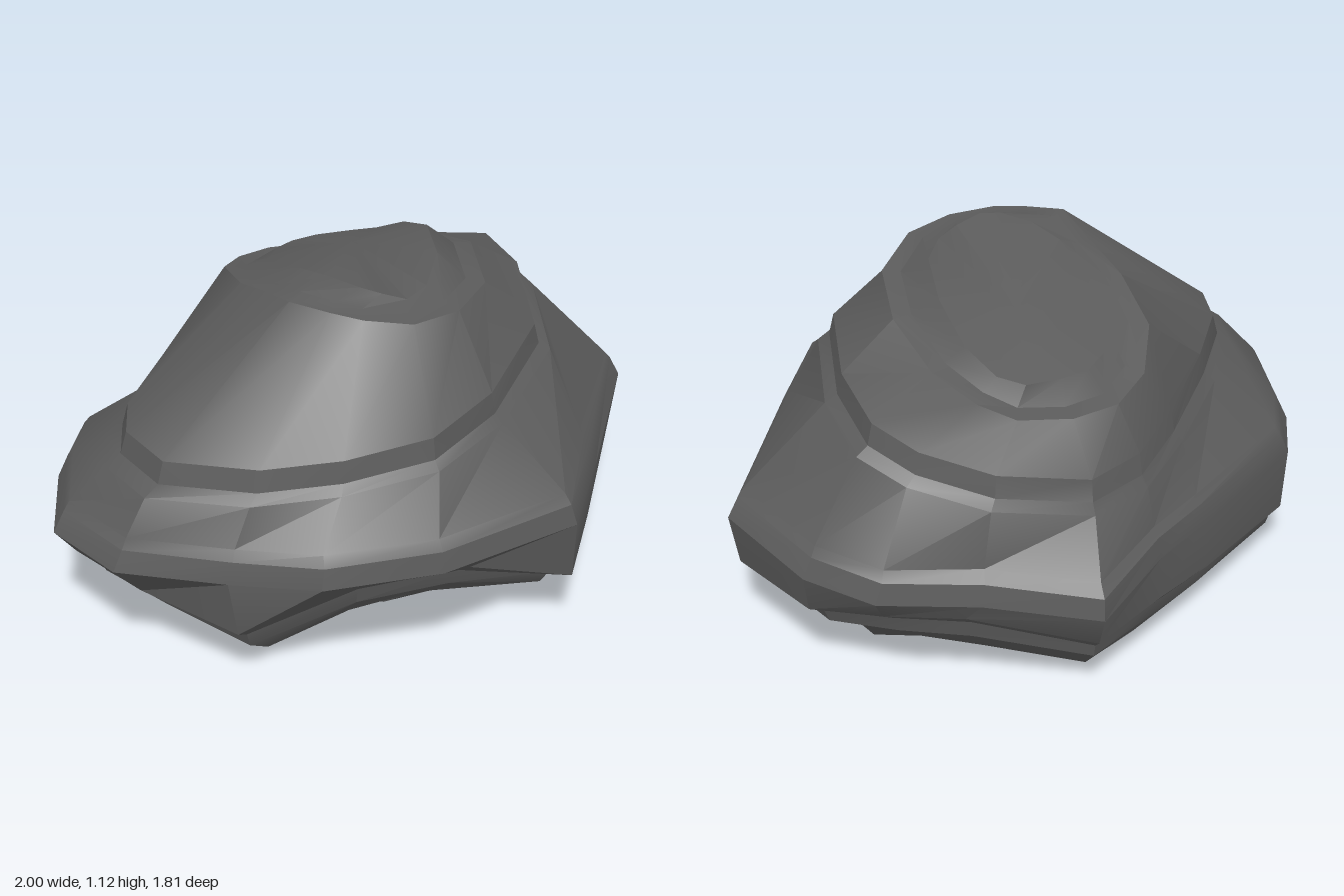
import * as THREE from 'three';
import { toCreasedNormals } from 'three/addons/utils/BufferGeometryUtils.js';

const N = 16;

// Key outlines as x, z pairs, from the back round by +x to the front and home by -x.
const base = [0, -.5, .2, -.45, .38, -.36, .58, -.32, .66, -.08, .4, .12, .25, .24, .04, .38,
  -.1, .33, -.3, .24, -.5, .14, -.55, .05, -.6, -.08, -.6, -.18, -.42, -.3, -.2, -.42];
const foot = [0, -.73, .3, -.62, .48, -.56, .64, -.42, .72, -.12, .5, .22, .4, .38, .13, .46,
  -.1, .5, -.38, .6, -.52, .36, -.68, .15, -.77, 0, -.74, -.17, -.4, -.46, -.2, -.6];
const sill = [0, -.86, .39, -.76, .63, -.69, .82, -.52, .97, -.17, .72, .38, .57, .69, .25, .65,
  -.1, .67, -.5, .77, -.76, .53, -.93, .28, -.93, 0, -.86, -.2, -.47, -.53, -.26, -.68];
const belt = [0, -.91, .35, -.8, .66, -.74, .84, -.56, 1, -.18, .73, .4, .56, .74, .1, .9,
  -.27, .9, -.53, .79, -.85, .63, -1, .35, -.95, 0, -.87, -.21, -.45, -.55, -.25, -.7];
const shelf = [-.02, -.74, .3, -.73, .53, -.63, .65, -.5, .68, -.2, .61, .24, .36, .58, .12, .74,
  -.18, .76, -.45, .73, -.74, .58, -.83, .36, -.8, .18, -.64, -.1, -.4, -.45, -.22, -.64];
const crown = [0, -.58, .17, -.56, .28, -.5, .38, -.36, .44, -.12, .4, .2, .26, .41, .1, .49,
  -.05, .47, -.14, .42, -.25, .34, -.29, .18, -.34, 0, -.35, -.25, -.27, -.44, -.15, -.55];
const plate = [0, -.47, .12, -.48, .2, -.44, .27, -.34, .3, -.15, .27, .1, .19, .28, .11, .36,
  .03, .365, -.03, .33, -.11, .23, -.17, .12, -.205, 0, -.21, -.2, -.16, -.37, -.09, -.44];

// Heights round the uneven outlines
const footY = [.06, .11, .14, .12, .1, .06, .05, .08, .07, .04, .04, .03, .02, .03, .05, .05];
const sillY = [.22, .32, .33, .28, .26, .24, .23, .28, .27, .22, .26, .27, .2, .16, .2, .22];
const crownY = [.85, .86, .9, .95, 1.02, 1.03, 1.05, 1.06, 1.08, 1.09, 1.1, 1.06, 1.01, .95, .89, .86];
const plateY = [.93, .93, .95, 1.01, 1.08, 1.1, 1.08, 1.08, 1.11, 1.12, 1.12, 1.1, 1.05, .99, .94, .93];

// One cross-section: an outline scaled about a centre and lifted by a height rule
function ring(outline, sx, sz, height, cx = 0, cz = 0) {
  return Array.from({ length: N }, (_, i) => {
    const x = cx + (outline[2 * i] - cx) * sx;
    const z = cz + (outline[2 * i + 1] - cz) * sz;
    return [x, height(x, z, i), z];
  });
}

// A cross-section between two others, with its own share of their height difference
function between(a, b, spread, lift) {
  return a.map((p, i) => p.map((v, axis) => v + (b[i][axis] - v) * (axis === 1 ? lift : spread)));
}

// Skin the cross-sections from bottom to top and close both ends
function loft(rings, bottom, top) {
  const pos = [];
  const tri = (...points) => points.forEach(p => pos.push(...p));
  for (let j = 0; j < N; j++) {
    const k = (j + 1) % N;
    tri(bottom, rings[0][j], rings[0][k]);
    for (let r = 0; r < rings.length - 1; r++) {
      const lo = rings[r], hi = rings[r + 1];
      tri(lo[j], hi[j], lo[k]);
      tri(lo[k], hi[j], hi[k]);
    }
    const last = rings[rings.length - 1];
    tri(last[j], top, last[k]);
  }
  const geometry = new THREE.BufferGeometry();
  geometry.setAttribute('position', new THREE.Float32BufferAttribute(pos, 3));
  return toCreasedNormals(geometry, 0.45);
}

export function createModel() {
  const beltY = (x, z) => .41 + .03 * x + .03 * z - .3 * Math.max(0, -z - .75);
  const shelfY = (x, z) => .68 + .2 * Math.max(0, x) + .07 * Math.min(0, x) - .2 * Math.max(0, -z - .4);
  const raise = (rule, dy) => (x, z) => rule(x, z) + dy;

  const footRing = ring(foot, 1, 1, (x, z, i) => footY[i]);
  const sillRing = ring(sill, 1, 1, (x, z, i) => sillY[i]);

  const rings = [
    // underside and undercut foot, stepping outward
    ring(base, 1, 1, x => .01 - .01 * Math.sign(x)),
    footRing,
    between(footRing, sillRing, .62, .5),
    between(footRing, sillRing, .72, .8),
    sillRing,
    // upright belt with a rounded lip
    ring(belt, 1, 1, beltY),
    ring(belt, .965, .99, raise(beltY, .07)),
    ring(belt, .945, .95, raise(beltY, .095)),
    // ledge and riser below the upper slope
    ring(shelf, 1, 1, raise(shelfY, -.01)),
    ring(shelf, .94, .97, raise(shelfY, .02)),
    ring(shelf, .915, .955, raise(shelfY, .09)),
    // rim and groove round the top plate
    ring(crown, 1, 1, (x, z, i) => crownY[i]),
    ring(crown, .85, .87, (x, z, i) => crownY[i] + .005, .04, -.06),
    ring(plate, 1, 1, (x, z, i) => plateY[i]),
  ];

  const rock = new THREE.Mesh(
    loft(rings, [0, .02, -.08], [.06, 1.03, -.18]),
    new THREE.MeshStandardMaterial({ color: 0x5c5c5c })
  );
  rock.name = 'rock';

  const group = new THREE.Group();
  group.name = 'layeredRock';
  group.add(rock);
  return group;
}
